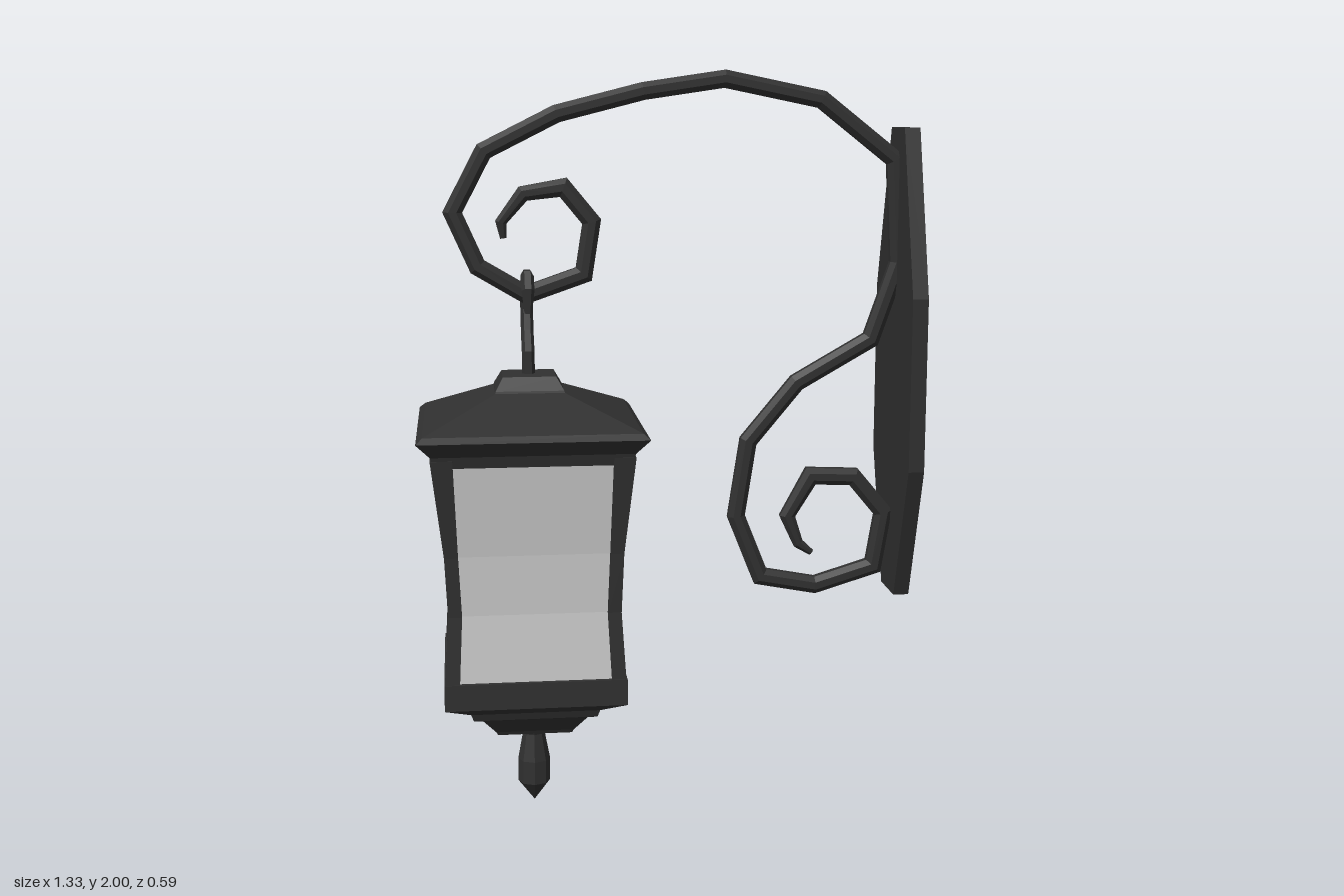
import * as THREE from 'three';

const V = (x, y, z) => new THREE.Vector3(x, y, z);

// Skin closed rings (counter-clockwise about the direction of travel), cap both ends, flat normals
function loft(rings) {
  const pos = [];
  const tri = (...pts) => pts.forEach(p => pos.push(p.x, p.y, p.z));
  const n = rings[0].length;
  for (let i = 0; i < rings.length - 1; i++) {
    for (let j = 0; j < n; j++) {
      const k = (j + 1) % n;
      const a = rings[i][j], b = rings[i][k], c = rings[i + 1][k], d = rings[i + 1][j];
      tri(a, b, c);
      tri(a, c, d);
    }
  }
  const first = rings[0], last = rings[rings.length - 1];
  for (let j = 1; j < n - 1; j++) {
    tri(first[0], first[j + 1], first[j]);
    tri(last[0], last[j], last[j + 1]);
  }
  const g = new THREE.BufferGeometry();
  g.setAttribute('position', new THREE.Float32BufferAttribute(pos, 3));
  g.computeVertexNormals();
  return g;
}

// Horizontal square ring of half width h, optionally shifted to a corner
const squareRing = (h, y, c = 0) =>
  [V(c - h, y, c + h), V(c + h, y, c + h), V(c + h, y, c - h), V(c - h, y, c - h)];

// Square-plan solid from [half width, height] pairs, bottom to top
const squareSolid = profile => loft(profile.map(([h, y]) => squareRing(h, y)));

// Mitred bar along a flat path; axis is the normal of the path's plane
function bar(path, axis, radiusAt, sides = 8) {
  const rings = path.map((p, i) => {
    const before = path[Math.max(i - 1, 0)], after = path[Math.min(i + 1, path.length - 1)];
    const d1 = p.clone().sub(before).normalize(), d2 = after.clone().sub(p).normalize();
    const t = d1.clone().add(d2).normalize();
    const mitre = 1 / Math.max(0.75, t.dot(i ? d1 : d2));
    const side = axis.clone().cross(t).normalize();
    const up = t.clone().cross(side);
    const r = radiusAt(i);
    return Array.from({ length: sides }, (_, k) => {
      const a = ((k + 0.5) / sides) * Math.PI * 2;
      return p.clone()
        .addScaledVector(side, -Math.cos(a) * r * mitre)
        .addScaledVector(up, -Math.sin(a) * r);
    });
  });
  return loft(rings);
}

export function createModel() {
  const model = new THREE.Group();
  model.name = 'wallLantern';
  const iron = new THREE.MeshStandardMaterial({ color: 0x303030 });
  iron.name = 'dark iron';
  const glass = new THREE.MeshStandardMaterial({ color: 0xcccccc });
  glass.name = 'pale glass';

  const add = (parent, name, geometry, material = iron) => {
    const mesh = new THREE.Mesh(geometry, material);
    mesh.name = name;
    parent.add(mesh);
    return mesh;
  };

  // Eight-sided wall plate
  const outline = [[1.85, -0.07], [1.85, 0.07], [1.41, 0.2], [0.95, 0.2],
    [0.58, 0.07], [0.58, -0.07], [0.95, -0.2], [1.41, -0.2]];
  add(model, 'wallPlate', loft([0.624, 0.666].map(x => outline.map(([y, z]) => V(x, y, z)))));

  // Scrolled bracket: upper curl, arch, then lower curl
  const scroll = [
    [-0.431, 1.564], [-0.437, 1.606], [-0.378, 1.68], [-0.272, 1.696], [-0.198, 1.606],
    [-0.22, 1.468], [-0.373, 1.415], [-0.5, 1.49], [-0.563, 1.632], [-0.479, 1.79],
    [-0.288, 1.886], [-0.06, 1.944], [0.156, 1.976], [0.415, 1.923], [0.617, 1.765],
    [0.632, 1.49], [0.56, 1.283], [0.357, 1.167], [0.225, 1.008], [0.193, 0.8],
    [0.262, 0.627], [0.415, 0.598], [0.58, 0.648], [0.605, 0.8], [0.52, 0.902],
    [0.4, 0.907], [0.336, 0.796], [0.368, 0.717], [0.405, 0.69],
  ].map(([x, y]) => V(x, y, 0));
  const taper = [0.009, 0.015, 0.021];
  add(model, 'scrollBracket', bar(scroll, V(0, 0, 1),
    i => taper[Math.min(i, scroll.length - 1 - i)] ?? 0.025));

  const lantern = new THREE.Group();
  lantern.name = 'lantern';
  lantern.position.x = -0.37;
  model.add(lantern);

  // Hook looped over the bracket
  const hook = [[1.18, 0], [1.26, 0], [1.31, -0.045], [1.37, -0.066], [1.43, -0.055],
    [1.465, -0.015], [1.465, 0.02], [1.43, 0.048], [1.37, 0.05]].map(([y, z]) => V(0, y, z));
  add(lantern, 'hook', bar(hook, V(1, 0, 0), i => (i > 7 ? 0.01 : 0.017), 6));

  // Roof and its cap
  add(lantern, 'roof', squareSolid([[0.255, 1.0], [0.262, 1.03], [0.297, 1.07],
    [0.28, 1.085], [0.233, 1.105], [0.09, 1.165]]));
  add(lantern, 'roofCap', squareSolid([[0.093, 1.16], [0.09, 1.17], [0.07, 1.205]]));

  // Waisted glass body, set just inside the posts
  const waist = [[0.238, 0.4], [0.226, 0.6], [0.233, 0.76], [0.263, 1.02]];
  add(lantern, 'glassPanes', squareSolid(waist.map(([h, y]) => [h - 0.01, y])), glass);

  // Four corner posts, from inner and outer offsets at each height
  const inner = [0.2, 0.19, 0.197, 0.206];
  const post = loft(waist.map(([outer, y], i) =>
    squareRing((outer - inner[i]) / 2, y, (outer + inner[i]) / 2)));
  for (let i = 0; i < 4; i++) {
    add(lantern, 'cornerPost', post).rotation.y = (i * Math.PI) / 2;
  }

  // Base band with stepped underside
  add(lantern, 'base', squareSolid([[0.1, 0.23], [0.105, 0.24], [0.14, 0.285],
    [0.165, 0.295], [0.172, 0.315], [0.24, 0.35], [0.24, 0.42]]));

  // Pointed drop finial
  const drop = [[0, 0.003], [0.044, 0.06], [0.044, 0.125], [0.03, 0.2], [0.042, 0.24]]
    .map(([r, y]) => new THREE.Vector2(r, y));
  const finial = new THREE.LatheGeometry(drop, 8).toNonIndexed();
  finial.computeVertexNormals();
  add(lantern, 'finial', finial);

  return model;
}
